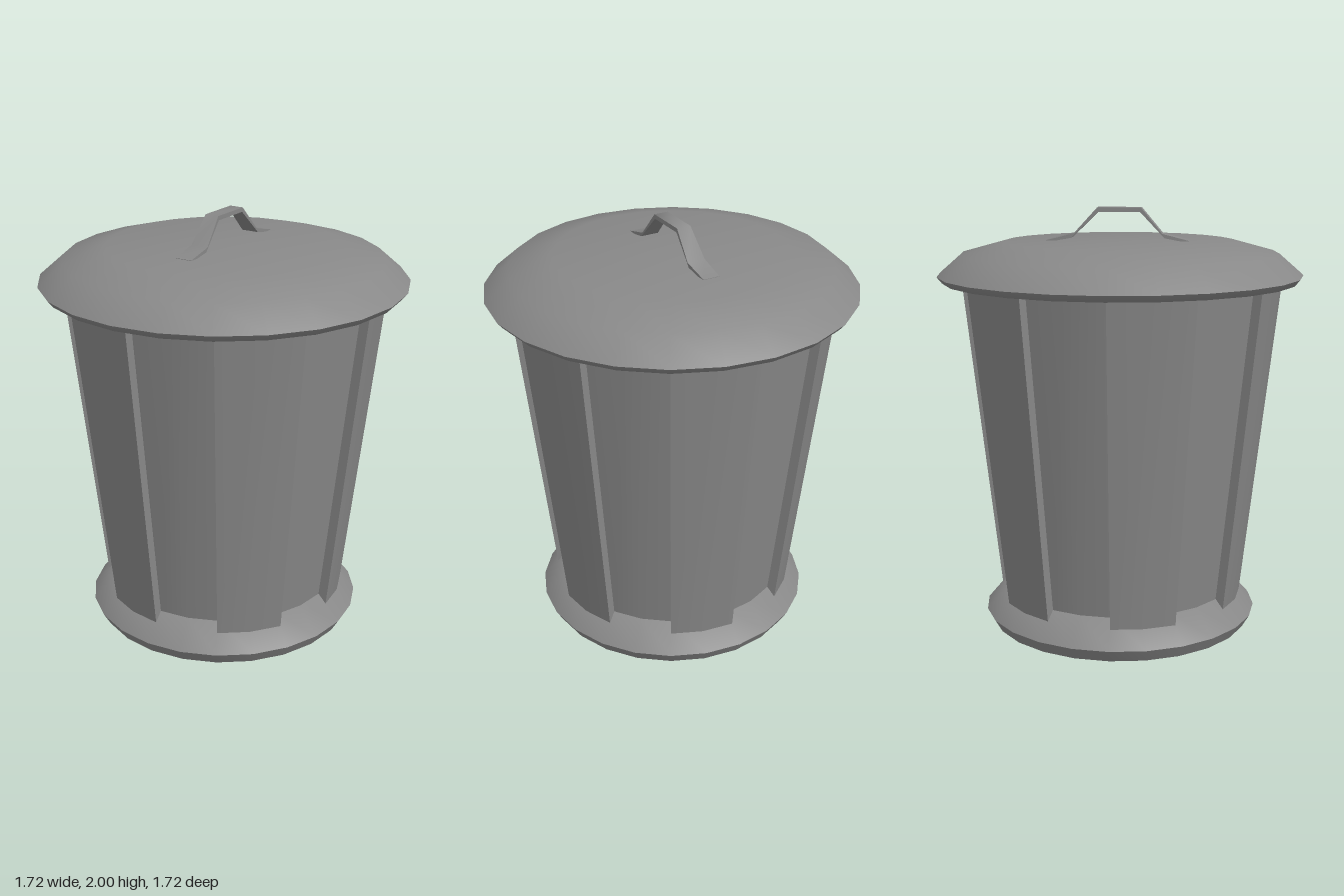
import * as THREE from 'three';
import { toCreasedNormals } from 'three/addons/utils/BufferGeometryUtils.js';

const SIDES = 24;
const CREASE = 0.9;

function lathe(points) {
  const profile = points.map(([r, y]) => new THREE.Vector2(r, y));
  return toCreasedNormals(new THREE.LatheGeometry(profile, SIDES), CREASE);
}

// Tapered wall of twelve panels, alternately recessed and raised
function flutedWall() {
  const yLow = 0.1, yHigh = 1.67;
  const ring = [];
  for (let panel = 0; panel < 12; panel++) {
    const inset = panel % 2 === 0 ? 0.045 : 0;
    for (let step = 0; step <= 2; step++) {
      ring.push({ angle: (panel * 2 + step) * Math.PI * 2 / SIDES, inset });
    }
  }
  const positions = [], index = [];
  for (const { angle, inset } of ring) {
    for (const [r, y] of [[0.585, yLow], [0.762, yHigh]]) {
      positions.push(Math.sin(angle) * (r - inset), y, Math.cos(angle) * (r - inset));
    }
  }
  for (let i = 0; i < ring.length; i++) {
    const a = i * 2, b = ((i + 1) % ring.length) * 2;
    index.push(a, b, b + 1, a, b + 1, a + 1);
  }
  const geo = new THREE.BufferGeometry();
  geo.setAttribute('position', new THREE.Float32BufferAttribute(positions, 3));
  geo.setIndex(index);
  return toCreasedNormals(geo, CREASE);
}

// Bent strap, slightly narrower along its raised grip
function strapHandle() {
  const outer = [[-0.345, 1.848], [-0.215, 1.88], [-0.105, 2], [0.1, 2], [0.2, 1.88], [0.325, 1.848]];
  const inner = [[0.325, 1.838], [0.21, 1.86], [0.095, 1.98], [-0.1, 1.98], [-0.225, 1.86], [-0.345, 1.838]];
  const shape = new THREE.Shape([...outer, ...inner].map(([z, y]) => new THREE.Vector2(z, y)));
  const geo = new THREE.ExtrudeGeometry(shape, { depth: 0.08, bevelEnabled: false });
  geo.translate(0, 0, -0.04);
  geo.rotateY(-Math.PI / 2);
  const p = geo.attributes.position;
  for (let i = 0; i < p.count; i++) {
    const z = Math.abs(p.getZ(i));
    p.setX(i, p.getX(i) * (z < 0.15 ? 0.85 : z < 0.25 ? 1.08 : 1));
  }
  return toCreasedNormals(geo, CREASE);
}

export function createModel() {
  const model = new THREE.Group();
  model.name = 'trashCan';
  const metal = new THREE.MeshStandardMaterial({ color: 0x888888 });
  metal.name = 'grey metal';

  const add = (name, geometry) => {
    const mesh = new THREE.Mesh(geometry, metal);
    mesh.name = name;
    model.add(mesh);
  };

  // Flared foot
  add('base', lathe([[0, 0], [0.625, 0], [0.66, 0.06], [0.55, 0.18], [0.5, 0.18]]));
  add('body', flutedWall());
  // Domed lid with a flat underside
  add('lid', lathe([[0, 1.66], [0.835, 1.66], [0.86, 1.69], [0.745, 1.79], [0.545, 1.845], [0, 1.848]]));
  add('lidHandle', strapHandle());
  return model;
}
